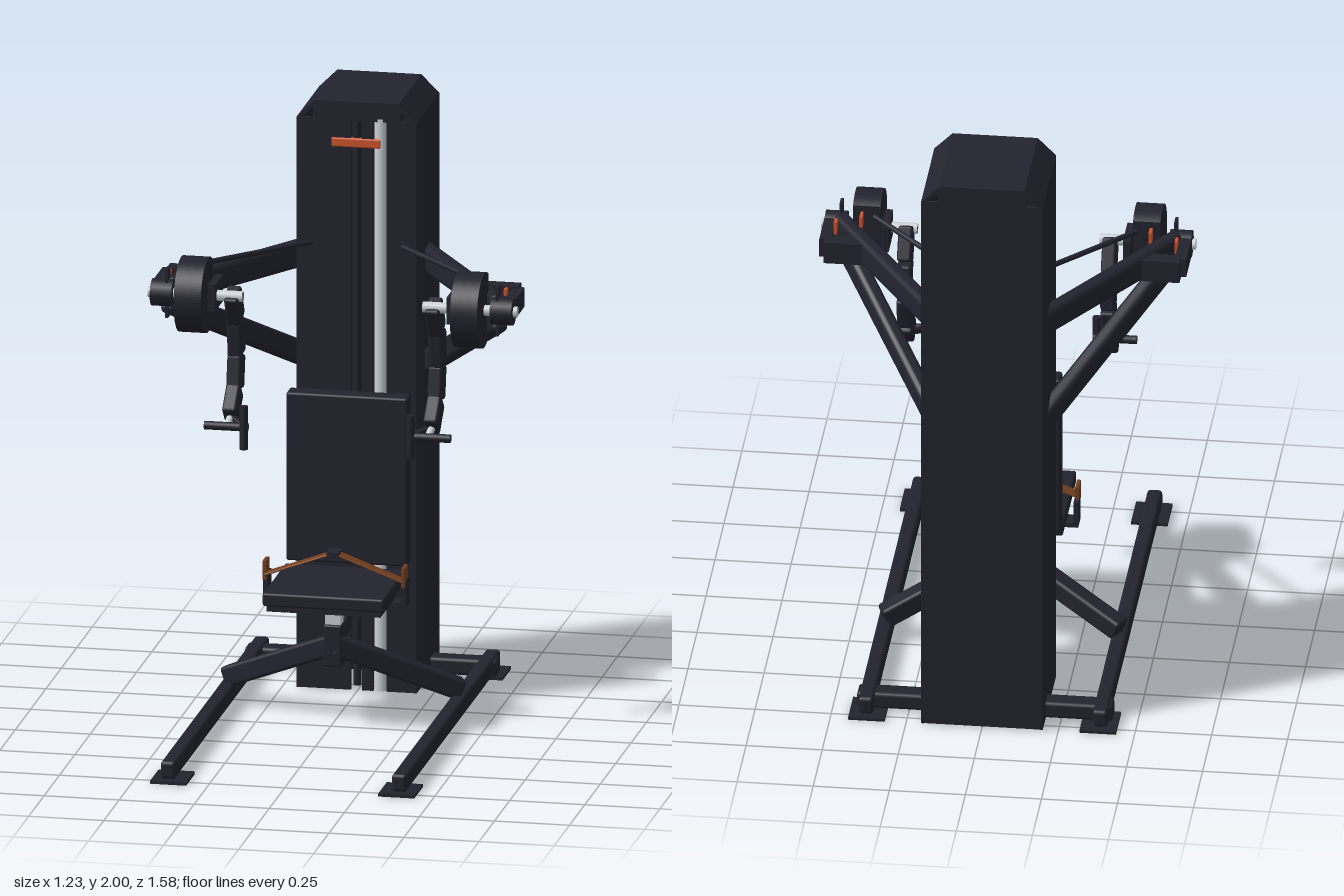
import * as THREE from 'three';
import { RoundedBoxGeometry } from 'three/addons/geometries/RoundedBoxGeometry.js';

const mat = (name, color) => {
  const m = new THREE.MeshStandardMaterial({ color });
  m.name = name;
  return m;
};

export function createModel() {
  const model = new THREE.Group();
  model.name = 'chestPressMachine';
  const frame = mat('dark frame', 0x23232f);
  const steel = mat('bright steel', 0xcdd2d6);
  const orange = mat('orange accent', 0xd0552c);
  const brown = mat('brown belt', 0x74401f);

  const add = (name, geo, material, x = 0, y = 0, z = 0) => {
    const m = new THREE.Mesh(geo, material);
    m.name = name;
    m.position.set(x, y, z);
    model.add(m);
    return m;
  };
  // box given by its min/max on each axis
  const box = (name, material, [x0, x1], [y0, y1], [z0, z1], r = 0) => {
    const w = Math.abs(x1 - x0), h = y1 - y0, d = z1 - z0;
    const geo = r ? new RoundedBoxGeometry(w, h, d, 2, r) : new THREE.BoxGeometry(w, h, d);
    return add(name, geo, material, (x0 + x1) / 2, (y0 + y1) / 2, (z0 + z1) / 2);
  };
  // rectangular tube between two points
  const beam = (name, material, a, b, w, h, r = 0.012) => {
    const p = new THREE.Vector3(...a), q = new THREE.Vector3(...b);
    const m = add(name, new RoundedBoxGeometry(w, h, p.distanceTo(q), 2, r), material);
    m.position.copy(p).add(q).multiplyScalar(0.5);
    m.lookAt(q);
    return m;
  };
  // round bar between two points
  const rod = (name, material, a, b, r) => {
    const p = new THREE.Vector3(...a), q = new THREE.Vector3(...b);
    const m = add(name, new THREE.CylinderGeometry(r, r, p.distanceTo(q), 20), material);
    m.position.copy(p).add(q).multiplyScalar(0.5);
    m.quaternion.setFromUnitVectors(new THREE.Vector3(0, 1, 0), q.sub(p).normalize());
    return m;
  };

  // weight tower: chamfered shell, open at the bottom
  const shell = new THREE.Shape([
    [-0.2, 0.005], [-0.19, 0.005], [-0.19, 1.935], [-0.135, 1.985], [0.135, 1.985], [0.19, 1.935],
    [0.19, 0.005], [0.2, 0.005], [0.2, 1.94], [0.14, 2], [-0.14, 2], [-0.2, 1.94],
  ].map((p) => new THREE.Vector2(...p)));
  add('towerShell', new THREE.ExtrudeGeometry(shell, { depth: 0.37, bevelEnabled: false }), frame, 0, 0, -0.79);
  box('towerBack', frame, [-0.19, 0.19], [0.005, 1.94], [-0.788, -0.778]);
  box('towerHeader', frame, [-0.145, 0.145], [1.935, 1.99], [-0.788, -0.423]);
  // front panels with a cable slot and a guide rod slot between them
  for (const [x0, x1] of [[-0.192, -0.02], [0.018, 0.055], [0.1, 0.192]])
    box('towerFrontPanel', frame, [x0, x1], [0.005, 1.94], [-0.432, -0.422]);
  rod('guideRod', steel, [0.078, 0.005, -0.444], [0.078, 1.945, -0.444], 0.023);
  rod('liftCable', frame, [0, 0.02, -0.437], [0, 1.94, -0.437], 0.013);
  box('topHandle', orange, [-0.085, 0.08], [1.845, 1.877], [-0.44, -0.418], 0.006);
  rod('selectorPin', frame, [0, 0.24, -0.44], [0, 0.24, -0.412], 0.008);

  // base
  box('rearCrossbar', frame, [-0.42, 0.42], [0.008, 0.065], [-0.715, -0.645], 0.012);

  // seat support
  box('seatSocket', frame, [-0.03, 0.03], [0.195, 0.335], [-0.092, -0.022], 0.006);
  box('seatPost', steel, [-0.026, 0.026], [0.32, 0.415], [-0.08, -0.032]);
  beam('backrestArm', frame, [0, 0.275, -0.06], [0, 0.42, -0.365], 0.065, 0.065);
  box('backrestPost', frame, [-0.033, 0.033], [0.43, 0.955], [-0.387, -0.32], 0.008);
  box('backrestPad', frame, [-0.202, 0.202], [0.48, 1.05], [-0.322, -0.255], 0.008);
  box('seatPad', frame, [-0.202, 0.202], [0.43, 0.475], [-0.245, 0.128], 0.008);
  box('seatPlate', frame, [-0.19, 0.19], [0.412, 0.432], [-0.1, 0.12]);

  // lap belt
  box('beltBar', frame, [-0.235, 0.235], [0.397, 0.413], [-0.12, -0.06]);
  box('beltBuckle', frame, [-0.02, 0.02], [0.568, 0.58], [-0.085, -0.03]);

  for (const s of [-1, 1]) {
    // floor rails and feet
    box('floorRail', frame, [s * 0.36, s * 0.41], [0.012, 0.072], [-0.765, 0.77], 0.012);
    for (const z of [-0.715, 0.72])
      box('footPlate', frame, [s * 0.32, s * 0.44], [0, 0.01], [z - 0.07, z + 0.07]);
    beam('seatBrace', frame, [s * 0.39, 0.085, -0.225], [0, 0.265, -0.05], 0.065, 0.07);

    // belt half and its holder
    beam('beltStrap', brown, [s * 0.232, 0.488, -0.06], [0, 0.574, -0.06], 0.045, 0.007, 0.003);
    box('beltUpright', brown, [s * 0.225, s * 0.237], [0.47, 0.535], [-0.1, -0.045]);
    box('beltHolder', frame, [s * 0.222, s * 0.238], [0.4, 0.49], [-0.122, -0.06]);

    // press arm carriers
    beam('upperCarrier', frame, [s * 0.165, 1.435, -0.66], [s * 0.555, 1.435, -0.045], 0.055, 0.09, 0.02);
    beam('lowerCarrier', frame, [s * 0.165, 1.05, -0.65], [s * 0.555, 1.4, -0.045], 0.055, 0.08, 0.02);
    rod('armCable', frame, [s * 0.15, 1.515, -0.43], [s * 0.43, 1.515, -0.13], 0.009);

    // cam wheel with a flat at the rear
    const camShape = new THREE.Shape();
    camShape.absarc(0, 0, 0.125, -2.12, 2.12, false);
    camShape.closePath();
    const cam = add('camWheel', new THREE.ExtrudeGeometry(camShape, { depth: 0.09, bevelEnabled: false, curveSegments: 40 }),
      frame, s * 0.46 + 0.045, 1.43, -0.035);
    cam.rotation.y = -Math.PI / 2;

    // pivot, bracket and range adjuster
    rod('pivotAxle', steel, [s * 0.3, 1.43, -0.037], [s * 0.615, 1.43, -0.037], 0.018);
    rod('pivotHub', frame, [s * 0.53, 1.43, -0.037], [s * 0.602, 1.43, -0.037], 0.045);
    box('bracketRear', frame, [s * 0.43, s * 0.585], [1.395, 1.47], [-0.245, -0.19]);
    box('bracketOuter', frame, [s * 0.565, s * 0.603], [1.4, 1.465], [-0.21, -0.03]);
    box('bracketInner', frame, [s * 0.385, s * 0.41], [1.385, 1.475], [-0.13, 0]);
    box('adjusterLever', frame, [s * 0.545, s * 0.555], [1.35, 1.515], [-0.055, -0.015]);
    box('adjusterTab', orange, [s * 0.47, s * 0.48], [1.47, 1.515], [-0.14, -0.085]);
    box('adjusterPin', orange, [s * 0.555, s * 0.565], [1.44, 1.485], [-0.13, -0.1]);

    // curved press arm made of straight segments
    const path = [[1.44, -0.04], [1.335, -0.095], [1.215, -0.102], [1.105, -0.08], [1.03, 0]];
    for (let i = 1; i < path.length; i++)
      beam('pressArm', frame, [s * 0.335, ...path[i - 1]], [s * 0.335, ...path[i]], 0.048, 0.08, 0.01);
    rod('armCollar', frame, [s * 0.3, 1.43, -0.037], [s * 0.385, 1.43, -0.037], 0.016);
    rod('gripPin', steel, [s * 0.335, 1.03, -0.01], [s * 0.335, 1.015, 0.05], 0.012);
    rod('crossGrip', frame, [s * 0.265, 1.013, 0.052], [s * 0.41, 1.013, 0.052], 0.014);
    rod('uprightGrip', frame, [s * 0.278, 0.94, 0.058], [s * 0.278, 1.087, 0.058], 0.014);
    beam('gripLink', frame, [s * 0.278, 1.013, 0.05], [s * 0.335, 1.03, -0.01], 0.02, 0.02, 0.004);
  }
  return model;
}
